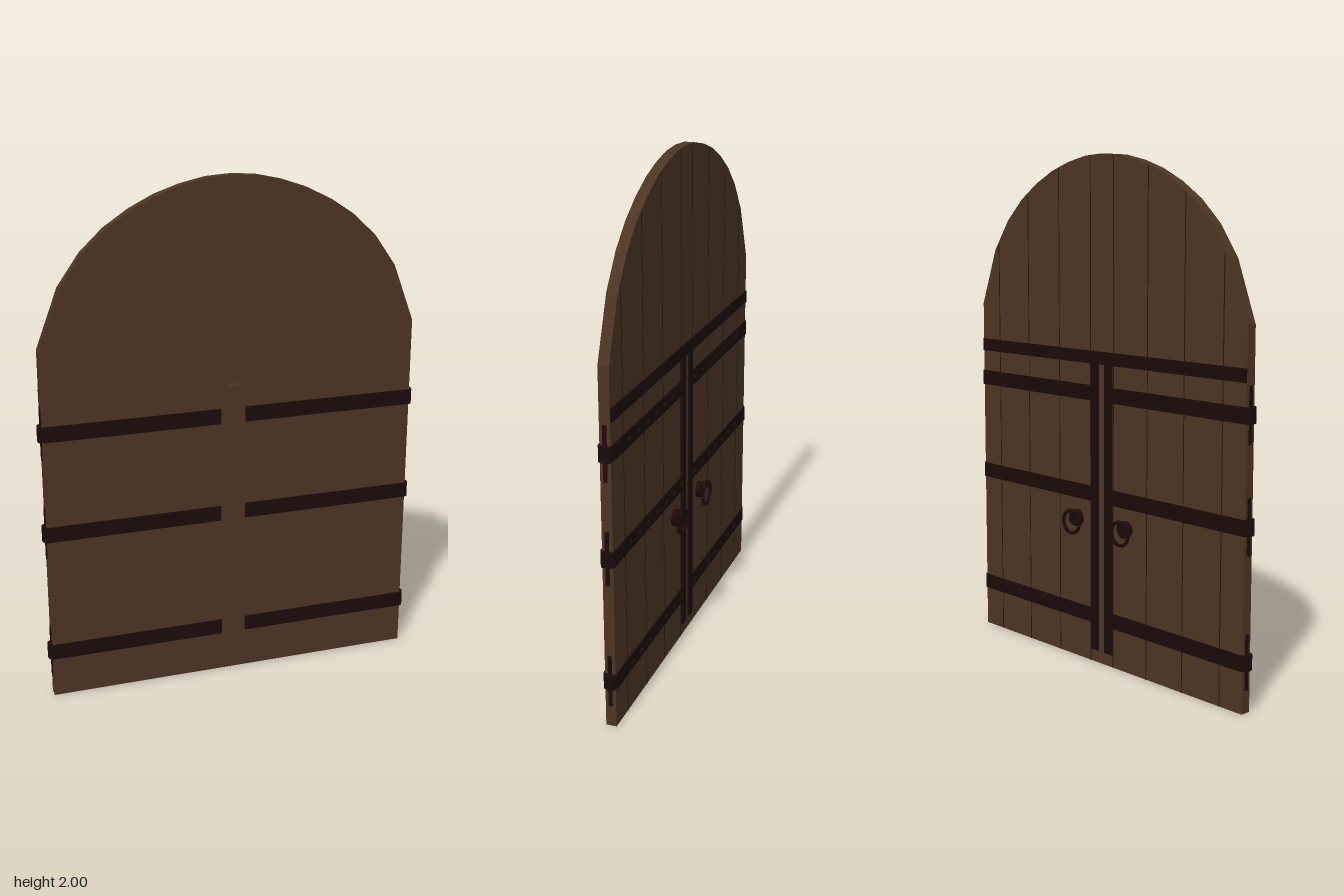
import * as THREE from 'three';

export function createModel() {
  const wood = new THREE.MeshStandardMaterial({ color: 0x4c3523 });
  wood.name = 'dark oak';
  const iron = new THREE.MeshStandardMaterial({ color: 0x1c0a0a });
  iron.name = 'black iron';
  const shade = new THREE.MeshStandardMaterial({ color: 0x241810 });
  shade.name = 'plank seam';

  const door = new THREE.Group();
  door.name = 'archedDoubleDoor';

  const add = (name, geometry, material, x = 0, y = 0, z = 0) => {
    const mesh = new THREE.Mesh(geometry, material);
    mesh.name = name;
    mesh.position.set(x, y, z);
    door.add(mesh);
    return mesh;
  };
  // Box given by its limits on each axis
  const block = (name, material, x0, x1, y0, y1, z0, z1) =>
    add(name, new THREE.BoxGeometry(x1 - x0, y1 - y0, z1 - z0), material,
      (x0 + x1) / 2, (y0 + y1) / 2, (z0 + z1) / 2);

  const back = -0.006, front = 0.035;

  // Arched wooden body, right half of the outline mirrored to the left
  const half = [[0.74, 0], [0.74, 1.4], [0.655, 1.625], [0.57, 1.745], [0.48, 1.83],
    [0.385, 1.893], [0.29, 1.94], [0.195, 1.972], [0.095, 1.994]];
  const outline = [...half, [0, 2], ...half.map(([x, y]) => [-x, y]).reverse()];
  const body = new THREE.ExtrudeGeometry(
    new THREE.Shape(outline.map(([x, y]) => new THREE.Vector2(x, y))),
    { depth: front - back, bevelEnabled: false });
  add('doorBody', body, wood, 0, 0, back);

  // Centre strip over the joint, and the lintel band behind
  block('centreStrip', wood, -0.03, 0.03, 0.04, 1.21, front - 0.005, 0.05);
  block('lintelBand', iron, -0.74, 0.74, 1.2, 1.25, -0.011, 0);

  // Iron strap with chamfered outer end, wrapping the leaf from front to back
  const strapPlan = new THREE.Shape([[0.05, -0.011], [0.738, -0.011], [0.75, -0.004],
    [0.755, 0.008], [0.755, 0.024], [0.75, 0.036], [0.738, 0.042], [0.05, 0.042]]
    .map(([x, z]) => new THREE.Vector2(x, -z)));
  const strapGeometry = new THREE.ExtrudeGeometry(strapPlan, { depth: 0.06, bevelEnabled: false });
  strapGeometry.rotateX(-Math.PI / 2);
  const studGeometry = new THREE.CylinderGeometry(0.011, 0.011, 0.016, 8).rotateX(Math.PI / 2);
  const knobGeometry = new THREE.CylinderGeometry(0.033, 0.033, 0.022, 16).rotateX(Math.PI / 2);
  const stemGeometry = new THREE.CylinderGeometry(0.012, 0.012, 0.022, 10).rotateX(Math.PI / 2);
  const ringGeometry = new THREE.TorusGeometry(0.046, 0.007, 8, 24);

  for (const side of [-1, 1]) {
    const label = side > 0 ? 'left' : 'right';
    for (const y of [0.19, 0.685, 1.085]) {
      // Half a turn about z swaps sides while keeping the front forward
      const strap = add(label + 'Strap', strapGeometry, iron, 0, y - side * 0.03, 0);
      if (side < 0) strap.rotation.z = Math.PI;
      for (let i = 0; i < 7; i++) {
        add(label + 'Stud', studGeometry, iron, side * (0.075 + i * 0.0865), y, -0.015);
      }
      // Hinge plate on the edge of the door
      add(label + 'Hinge', new THREE.BoxGeometry(0.008, 0.21, 0.015), iron, side * 0.74, y, 0.015);
    }

    // Upright iron edging of each leaf
    add(label + 'LeafEdging', new THREE.BoxGeometry(0.042, 1.16, 0.012), iron, side * 0.039, 0.63, -0.006);

    // Ring handle
    add(label + 'HandleBoss', knobGeometry, iron, side * 0.14, 0.575, -0.017);
    add(label + 'HandleStem', stemGeometry, iron, side * 0.14, 0.6, -0.036);
    add(label + 'HandleRing', ringGeometry, iron, side * 0.14, 0.562, -0.043);

    // Seams between planks on the back
    for (const [x, top] of [[0.065, 1.99], [0.25, 1.95], [0.44, 1.85], [0.63, 1.64]]) {
      add(label + 'PlankSeam', new THREE.BoxGeometry(0.004, top, 0.002), shade, side * x, top / 2, back);
    }
  }

  return door;
}
